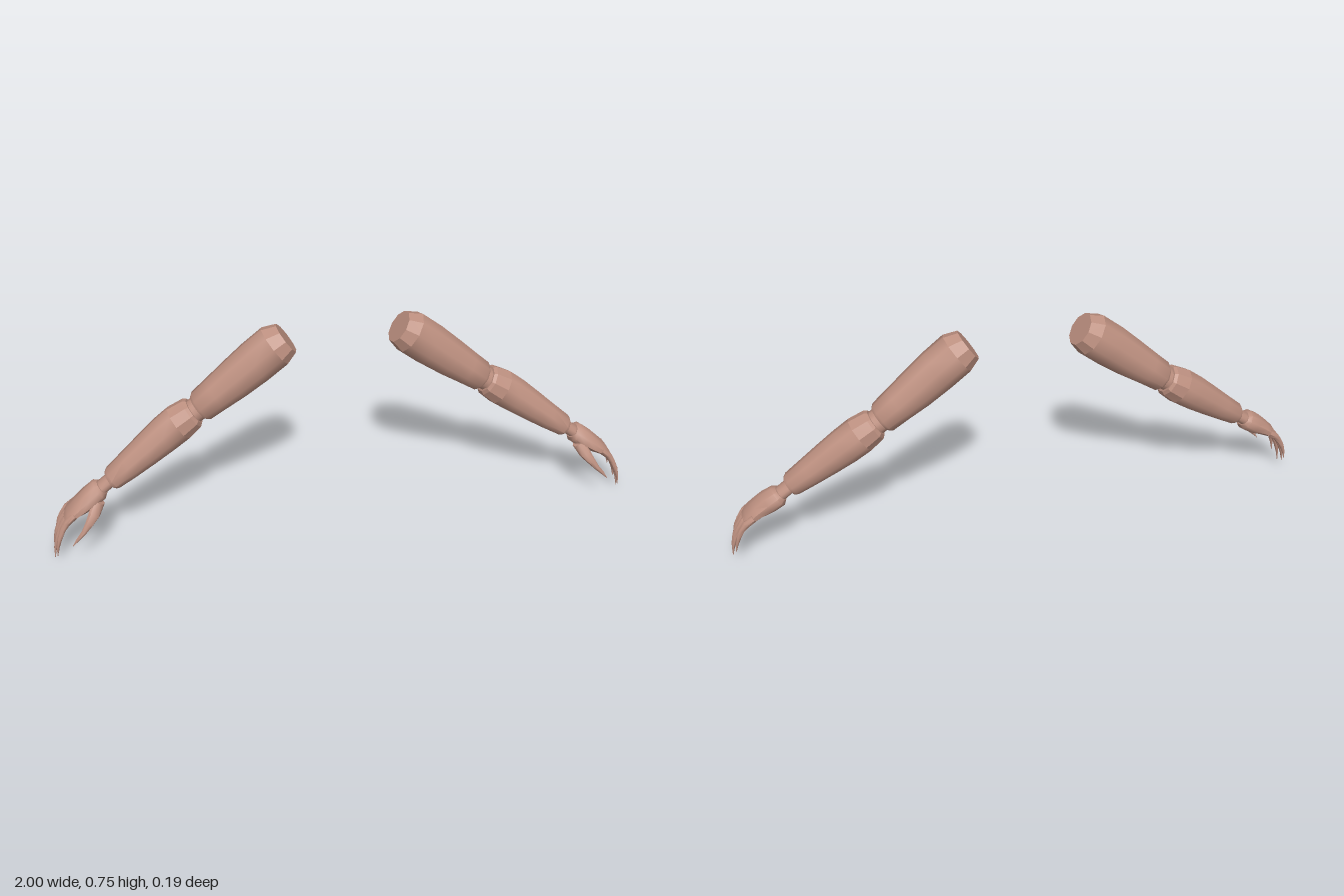
import * as THREE from 'three';
import { toCreasedNormals } from 'three/addons/utils/BufferGeometryUtils.js';

const skin = new THREE.MeshStandardMaterial({ color: 0xbd9080 });

// Closed tube through sections [x, y, z, half height, half width].
// axis fixes the ring direction; without it rings follow the path.
function loft(sections, { axis, sides = 10, crease = 0.8, side = 1 } = {}) {
  const pos = [], index = [];
  const last = sections.length - 1;
  sections.forEach(([x, y, z, h, w], i) => {
    const a = sections[Math.max(i - 1, 0)], b = sections[Math.min(i + 1, last)];
    const [dx, dy] = axis ?? [b[0] - a[0], b[1] - a[1]];
    const len = Math.hypot(dx, dy);
    for (let j = 0; j < sides; j++) {
      const t = (j / sides) * Math.PI * 2;
      const up = h * Math.cos(t);
      pos.push(side * (x - (dy / len) * up), y + (dx / len) * up, z + w * Math.sin(t));
    }
  });
  const face = (a, b, c) => index.push(...(side > 0 ? [a, b, c] : [a, c, b]));
  for (let i = 0; i < last; i++) {
    for (let j = 0; j < sides; j++) {
      const k = (j + 1) % sides, p = i * sides, q = p + sides;
      face(p + j, p + k, q + k);
      face(p + j, q + k, q + j);
    }
  }
  for (const i of [0, last]) {
    const c = pos.length / 3, [x, y, z] = sections[i], p = i * sides;
    pos.push(side * x, y, z);
    for (let j = 0; j < sides; j++) {
      const k = (j + 1) % sides;
      if (i) face(c, p + j, p + k);
      else face(c, p + k, p + j);
    }
  }
  const g = new THREE.BufferGeometry();
  g.setAttribute('position', new THREE.Float32BufferAttribute(pos, 3));
  g.setIndex(index);
  return toCreasedNormals(g, crease);
}

function createArm(side) {
  const arm = new THREE.Group();
  arm.name = side > 0 ? 'leftArm' : 'rightArm';
  const add = (name, sections, options) => {
    const mesh = new THREE.Mesh(loft(sections, { side, ...options }), skin);
    mesh.name = name;
    arm.add(mesh);
  };
  const upper = [0.82, -0.57], fore = [0.84, -0.54], wrist = [0.79, -0.61];

  // Upper arm with a bevelled shoulder end
  add('shoulderCap', [
    [0.186, 0.708, -0.025, 0.056, 0.056],
    [0.224, 0.684, -0.025, 0.074, 0.07],
  ], { axis: upper, crease: 0.1 });
  add('upperArm', [
    [0.224, 0.684, -0.025, 0.074, 0.07],
    [0.29, 0.632, -0.025, 0.074, 0.069],
    [0.36, 0.576, -0.026, 0.068, 0.066],
    [0.42, 0.53, -0.026, 0.06, 0.061],
    [0.472, 0.49, -0.027, 0.054, 0.057],
    [0.48, 0.484, -0.027, 0.047, 0.05],
  ], { axis: upper });
  add('elbowJoint', [
    [0.46, 0.497, -0.027, 0.04, 0.044],
    [0.53, 0.45, -0.027, 0.04, 0.044],
  ], { axis: fore });

  // Forearm with a faceted collar at the elbow
  add('elbowCollar', [
    [0.496, 0.472, -0.027, 0.047, 0.05],
    [0.504, 0.466, -0.027, 0.055, 0.057],
    [0.55, 0.435, -0.025, 0.064, 0.061],
  ], { axis: fore, crease: 0.1 });
  add('forearm', [
    [0.55, 0.435, -0.025, 0.064, 0.061],
    [0.6, 0.399, -0.021, 0.062, 0.061],
    [0.66, 0.355, -0.013, 0.055, 0.058],
    [0.72, 0.311, -0.005, 0.047, 0.053],
    [0.778, 0.27, 0.002, 0.039, 0.047],
    [0.787, 0.263, 0.002, 0.034, 0.041],
  ], { axis: fore });
  add('wristJoint', [
    [0.77, 0.276, 0.002, 0.022, 0.031],
    [0.84, 0.222, 0.004, 0.022, 0.031],
  ], { axis: wrist });

  // Hand
  add('palm', [
    [0.818, 0.239, 0.004, 0.026, 0.034],
    [0.828, 0.231, 0.004, 0.036, 0.043],
    [0.862, 0.208, 0.012, 0.036, 0.049],
    [0.898, 0.186, 0.017, 0.027, 0.054],
    [0.93, 0.164, 0.018, 0.019, 0.054],
    [0.945, 0.15, 0.018, 0.011, 0.05],
  ]);

  // Four tapering, clawed fingers: base z, tip z, tip x, tip y
  const fingers = {
    indexFinger: [0.058, 0.071, 0.988, 0.028],
    middleFinger: [0.034, 0.04, 0.999, 0.001],
    ringFinger: [0.004, 0.006, 0.998, 0.019],
    littleFinger: [-0.024, -0.027, 0.986, 0.054],
  };
  for (const [name, [z0, z1, tx, ty]] of Object.entries(fingers)) {
    const at = (x, y, t, h, w) => [
      0.915 + (tx - 0.915) * x, 0.175 + (ty - 0.175) * y, z0 + (z1 - z0) * t, h, w,
    ];
    add(name, [
      at(0, 0, 0, 0.013, 0.014),
      at(0.38, 0.16, 0.25, 0.012, 0.012),
      at(0.62, 0.34, 0.55, 0.009, 0.008),
      at(0.8, 0.54, 0.85, 0.008, 0.008),
      at(0.93, 0.76, 1, 0.005, 0.005),
      at(1, 1, 1, 0.0008, 0.0008),
    ], { sides: 8 });
  }

  // Thumb on the front edge, curving under the palm
  add('thumb', [
    [0.832, 0.205, 0.035, 0.02, 0.018],
    [0.852, 0.175, 0.062, 0.02, 0.018],
    [0.872, 0.15, 0.08, 0.014, 0.013],
    [0.892, 0.125, 0.089, 0.009, 0.009],
    [0.914, 0.102, 0.094, 0.006, 0.005],
    [0.934, 0.077, 0.093, 0.0008, 0.0008],
  ], { sides: 8 });
  return arm;
}

export function createModel() {
  const model = new THREE.Group();
  model.name = 'armPair';
  model.add(createArm(1), createArm(-1));
  return model;
}
